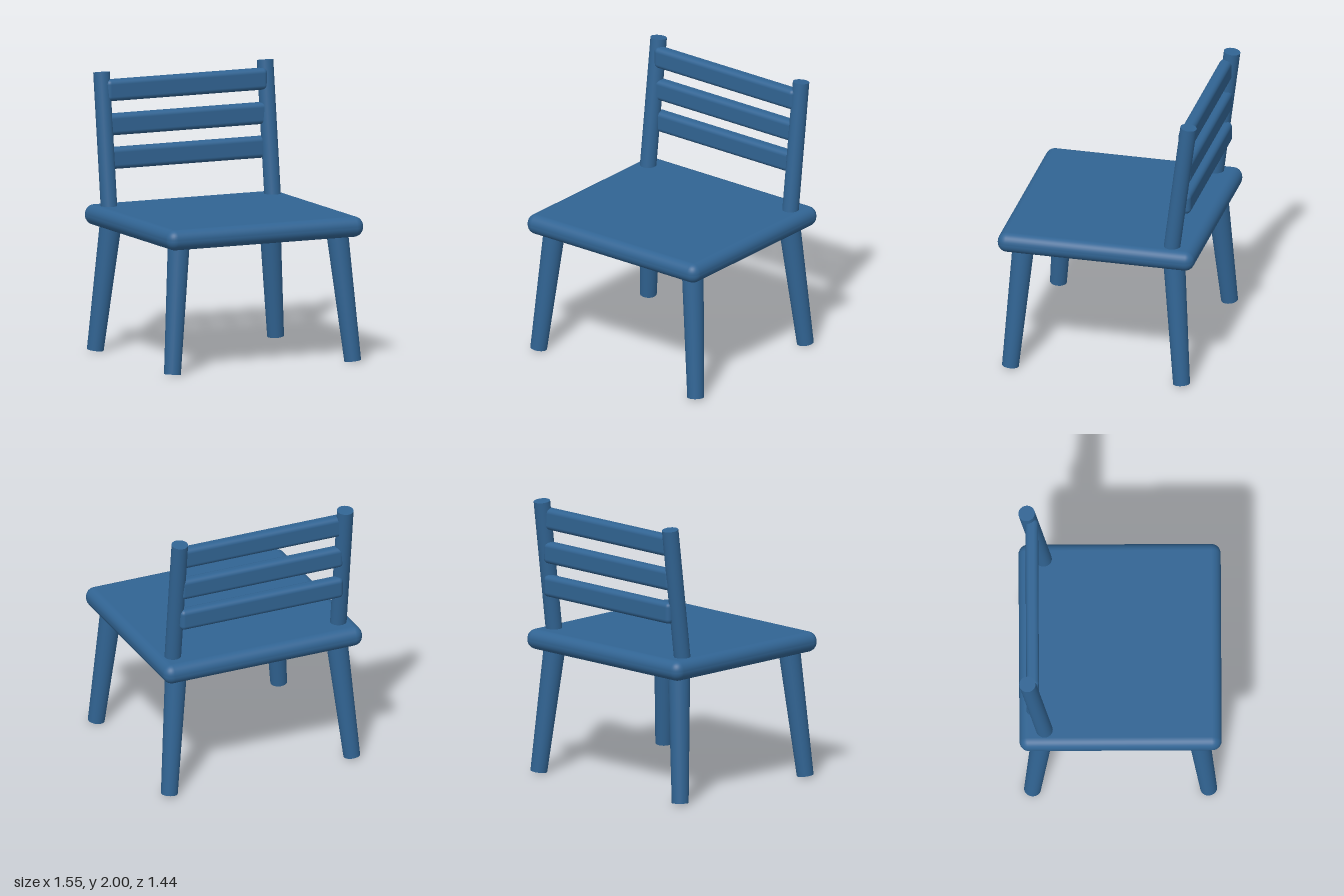
import * as THREE from 'three';
import { RoundedBoxGeometry } from 'three/addons/geometries/RoundedBoxGeometry.js';

const bluePaint = new THREE.MeshStandardMaterial({ color: 0x316493 });
bluePaint.name = 'blue paint';

function addMesh(group, name, geometry) {
  const mesh = new THREE.Mesh(geometry, bluePaint);
  mesh.name = name;
  group.add(mesh);
  return mesh;
}

// Tapered round rod between two points
function addRod(group, name, bottom, top, bottomRadius, topRadius) {
  const axis = top.clone().sub(bottom);
  const rod = addMesh(group, name, new THREE.CylinderGeometry(topRadius, bottomRadius, axis.length(), 24));
  rod.position.copy(bottom).addScaledVector(axis, 0.5);
  rod.quaternion.setFromUnitVectors(new THREE.Vector3(0, 1, 0), axis.normalize());
}

export function createModel() {
  const chair = new THREE.Group();
  chair.name = 'chair';

  // Seat with softly rounded edges
  addMesh(chair, 'seat', new RoundedBoxGeometry(1.546, 0.146, 1.434, 4, 0.068)).position.y = 0.977;

  for (const [side, sx] of [['left', 1], ['right', -1]]) {
    // Splayed, tapered legs
    for (const [end, sz] of [['front', 1], ['back', -1]]) {
      addRod(chair, `${end} ${side} leg`,
        new THREE.Vector3(sx * 0.711, 0.01, sz * 0.625),
        new THREE.Vector3(sx * 0.624, 0.94, sz * 0.549), 0.06, 0.078);
    }
    // Backrest posts leaning backwards
    addRod(chair, `${side} back post`,
      new THREE.Vector3(sx * 0.645, 0.98, -0.531),
      new THREE.Vector3(sx * 0.645, 1.993, -0.66), 0.059, 0.059);
  }

  // Three upright slats, stacked in one plane between the posts
  [['lower', 1.377], ['middle', 1.619], ['upper', 1.865]].forEach(([name, y]) => {
    addMesh(chair, `${name} slat`, new RoundedBoxGeometry(1.27, 0.155, 0.09, 4, 0.034))
      .position.set(0, y, -0.623);
  });

  return chair;
}
